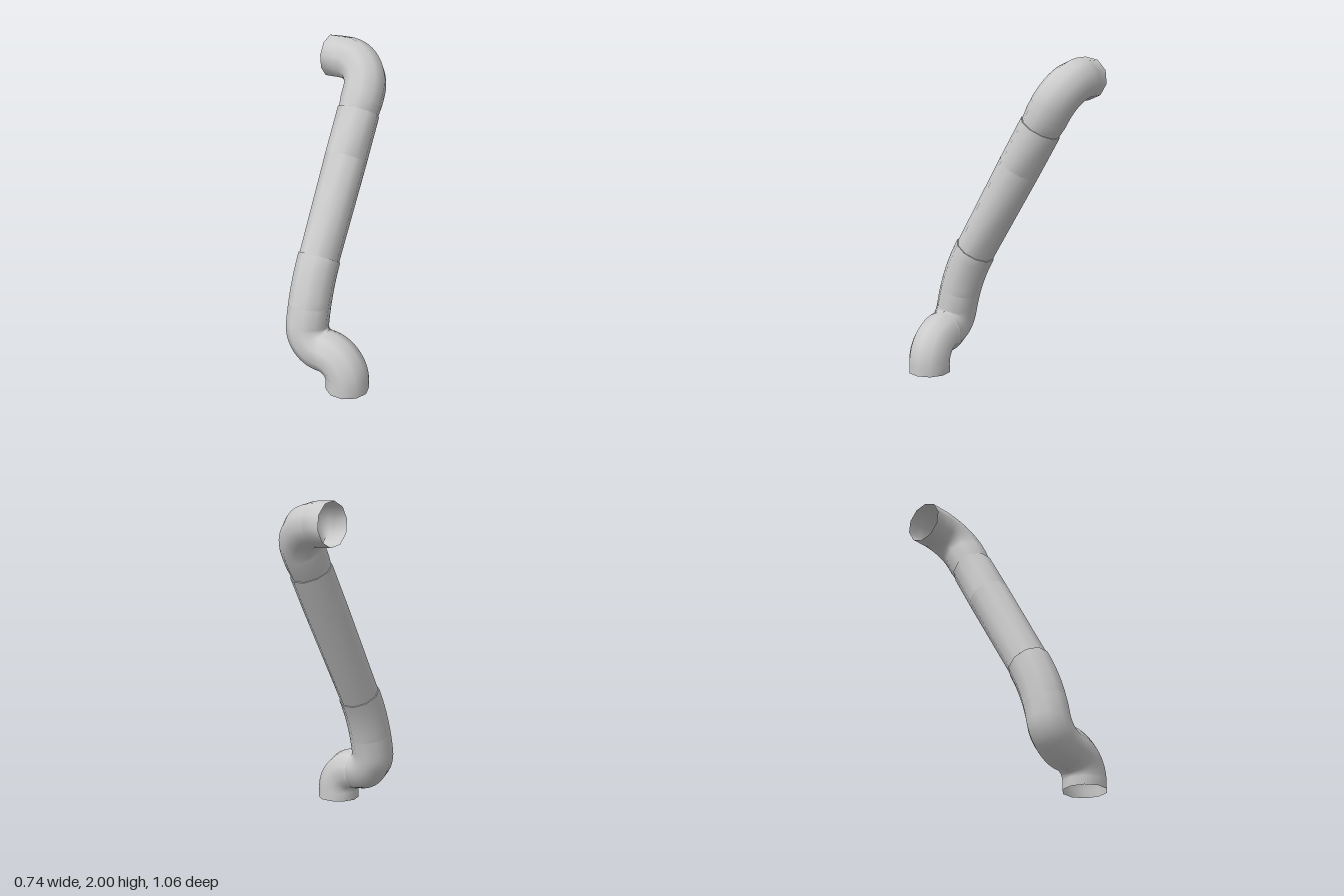
import * as THREE from 'three';

const SIDES = 10, R = 0.135, X = -0.067, SLOPE = Math.PI / 6;

// A cross-section: centre p, turn a towards -x, backward lean t, radius r
const ring = (x, y, z, a, t, r = R) => ({ p: new THREE.Vector3(x, y, z), a, t, r });

// Skin a list of cross-sections into an open tube
function sweep(name, rings) {
  const pos = [], idx = [];
  for (const { p, a, t, r } of rings) {
    const n = new THREE.Vector3(Math.cos(a), Math.sin(a) * Math.cos(t), -Math.sin(a) * Math.sin(t));
    const b = new THREE.Vector3(0, Math.sin(t), Math.cos(t));
    for (let j = 0; j < SIDES; j++) {
      const w = j / SIDES * Math.PI * 2;
      const v = p.clone().addScaledVector(n, r * Math.cos(w)).addScaledVector(b, r * Math.sin(w));
      pos.push(v.x, v.y, v.z);
    }
  }
  for (let i = 0; i < rings.length - 1; i++) {
    for (let j = 0; j < SIDES; j++) {
      const k = (j + 1) % SIDES, a = i * SIDES, b = a + SIDES;
      idx.push(a + j, b + j, a + k, b + j, b + k, a + k);
    }
  }
  const geo = new THREE.BufferGeometry();
  geo.setAttribute('position', new THREE.Float32BufferAttribute(pos, 3));
  geo.setIndex(idx);
  geo.computeVertexNormals();
  const mesh = new THREE.Mesh(geo, new THREE.MeshStandardMaterial({ color: 0xcccccc, side: THREE.DoubleSide }));
  mesh.name = name;
  return mesh;
}

// Lower run: leans back along a wide arc as it rises
function leaning(x, y, a) {
  const bend = 1.23, t = Math.asin(Math.min(0.5, Math.max(0, (y - 0.145) / bend)));
  return ring(x, y, 0.405 - bend * (1 - Math.cos(t)), a, t);
}

// Upper run: straight along the slope, s measured from the top of the lower bend
function sloped(s, x = X, a = 0, r = R) {
  return ring(x, 0.76 + s * Math.cos(SLOPE), 0.24 - s * Math.sin(SLOPE), a, SLOPE, r);
}

export function createModel() {
  const group = new THREE.Group();
  group.name = 'bentPipe';
  const steps = 14, quarter = Math.PI / 2;

  // Foot elbow: from the ground over to -x
  const foot = [leaning(0.235, 0, 0)];
  for (let i = 0; i <= steps; i++) {
    const a = quarter * i / steps;
    foot.push(leaning(0.07 + 0.165 * Math.cos(a), 0.055 + 0.165 * Math.sin(a), a));
  }
  group.add(sweep('footElbow', foot));

  // Second elbow: from -x back to upright
  const rise = [];
  for (let i = 0; i <= steps; i++) {
    const a = quarter * (1 - i / steps);
    rise.push(leaning(0.073 - 0.14 * Math.cos(a), 0.36 - 0.14 * Math.sin(a), a));
  }
  rise.push(leaning(X, 0.42, 0), leaning(X, 0.475, 0));
  group.add(sweep('riserElbow', rise));

  // Gentle bend onto the slope
  const bend = [];
  for (let i = 0; i <= 6; i++) bend.push(leaning(X, 0.475 + 0.285 * i / 6, 0));
  group.add(sweep('slopeBend', bend));

  // Straight pipes, with small lips where a narrower end sits in its neighbour
  const J3 = 0.645, J4 = 0.945, narrow = 0.128;
  group.add(sweep('lowerLip', [sloped(0), sloped(0, X, 0, narrow)]));
  group.add(sweep('middlePipe', [sloped(0, X, 0, narrow), sloped(J3)]));
  group.add(sweep('upperPipe', [sloped(J3), sloped(J4)]));
  group.add(sweep('upperLip', [sloped(J4), sloped(J4, X, 0, narrow)]));

  // Top elbow: turns to -x and ends open
  const top = [sloped(J4, X, 0, narrow), sloped(J4 + 0.07)], r = 0.2, end = 1.276;
  for (let i = 0; i <= steps; i++) {
    const a = quarter * i / steps;
    top.push(sloped(end - r + r * Math.sin(a), X - r + r * Math.cos(a), a));
  }
  top.push(sloped(end, -0.37, quarter));
  group.add(sweep('topElbow', top));

  return group;
}
